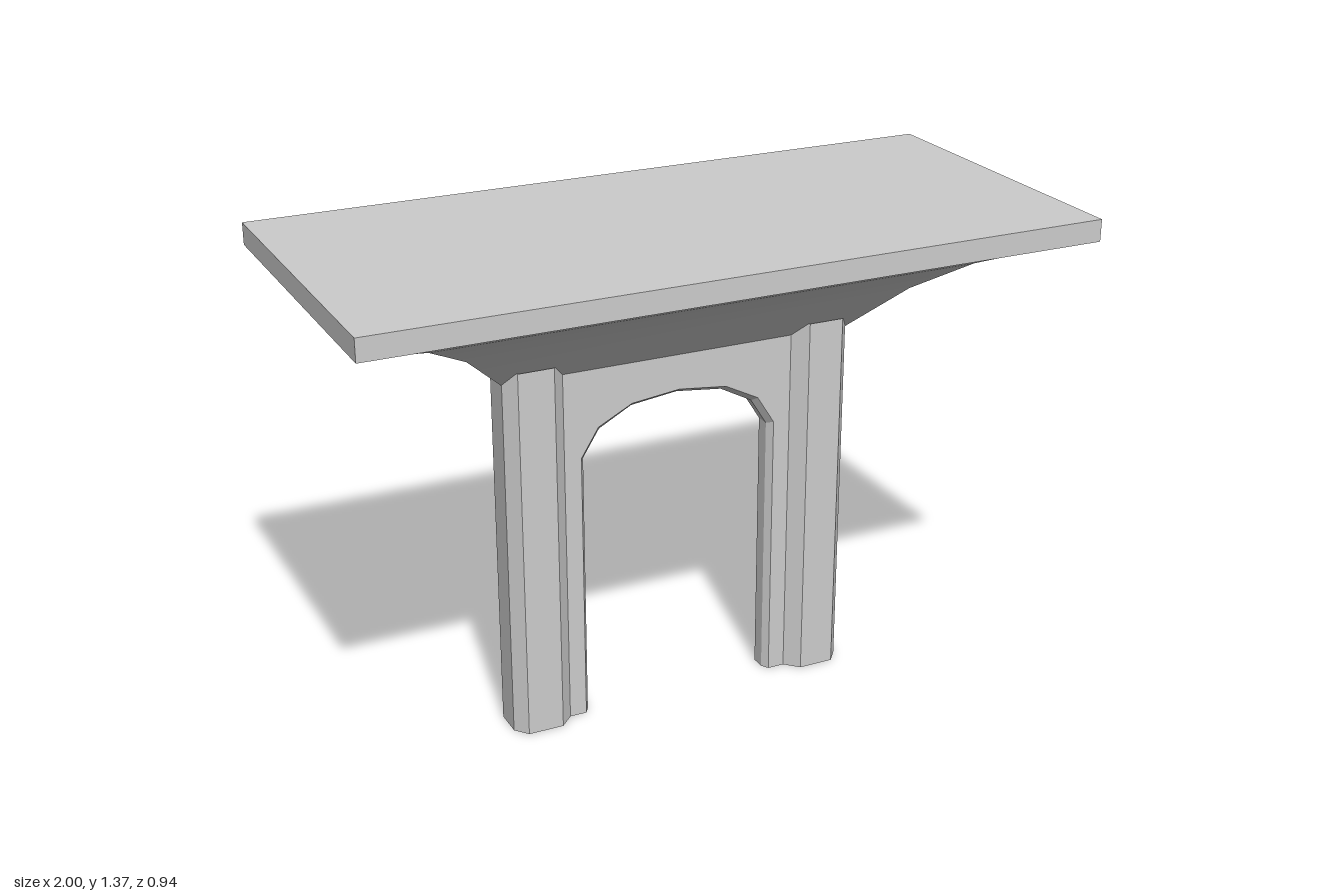
import * as THREE from 'three';
import { toCreasedNormals } from 'three/addons/utils/BufferGeometryUtils.js';

const material = new THREE.MeshStandardMaterial({ color: 0xcccccc, side: THREE.DoubleSide });

// Skin a series of cross-sections; closed joins the last point of each to its first.
function loft(sections, closed, crease) {
  const n = sections[0].length;
  const index = [];
  for (let i = 0; i < sections.length - 1; i++) {
    for (let j = 0; j < (closed ? n : n - 1); j++) {
      const k = (j + 1) % n;
      const a = i * n + j, b = i * n + k, c = (i + 1) * n + k, d = (i + 1) * n + j;
      index.push(a, b, c, a, c, d);
    }
  }
  const geometry = new THREE.BufferGeometry();
  geometry.setAttribute('position', new THREE.Float32BufferAttribute(sections.flat(2), 3));
  geometry.setIndex(index);
  return toCreasedNormals(geometry, crease);
}

function addMesh(parent, name, geometry) {
  const mesh = new THREE.Mesh(geometry, material);
  mesh.name = name;
  parent.add(mesh);
  return mesh;
}

export function createModel() {
  const model = new THREE.Group();
  model.name = 'pier';

  // Flat deck slab
  addMesh(model, 'deckSlab', new THREE.BoxGeometry(2, 0.06, 0.936)).position.y = 1.335;

  // Flared head: concave rectangular sections [half x, half z, y, y at end middle]
  const head = [
    [0.5, 0.038, 1.01, 1.03],
    [0.63, 0.15, 1.135, 1.135],
    [0.76, 0.255, 1.217, 1.217],
    [0.88, 0.37, 1.27, 1.27],
    [1, 0.468, 1.305, 1.305],
  ].map(([x, z, y, m]) => [
    [-x, y, z], [x, y, z], [x, m, 0], [x, y, -z], [-x, y, -z], [-x, m, 0],
  ]);
  addMesh(model, 'flaredHead', loft(head, true, 0.7));

  // Pair of chamfered columns, open at the foot
  const outline = [
    [0.333, 0.04], [0.37, 0.077], [0.47, 0.077], [0.5, 0.04],
    [0.5, -0.04], [0.47, -0.077], [0.37, -0.077], [0.333, -0.04],
  ];
  const column = loft([0, 1.05].map((y) => outline.map(([x, z]) => [x, y, z])), true, 0.3);
  addMesh(model, 'leftColumn', column);
  addMesh(model, 'rightColumn', column).rotation.y = Math.PI;

  // Arched web between the columns: [outer edge, arch face edge, chamfered inner edge]
  const half = [
    [[-0.335, 0], [-0.285, 0], [-0.272, 0]],
    [[-0.335, 0.765], [-0.285, 0.768], [-0.272, 0.76]],
    [[-0.335, 1.015], [-0.235, 0.848], [-0.225, 0.835]],
    [[-0.14, 1.015], [-0.138, 0.898], [-0.132, 0.885]],
    [[0, 1.015], [0, 0.914], [0, 0.901]],
  ];
  const mirrored = half.slice(0, -1).reverse().map((s) => s.map(([x, y]) => [-x, y]));
  const arch = [...half, ...mirrored].map(([o, f, e]) => [
    [...o, 0.04], [...f, 0.04], [...e, 0.02], [...e, -0.02], [...f, -0.04], [...o, -0.04],
  ]);
  addMesh(model, 'archWeb', loft(arch, false, 0.2));

  return model;
}
